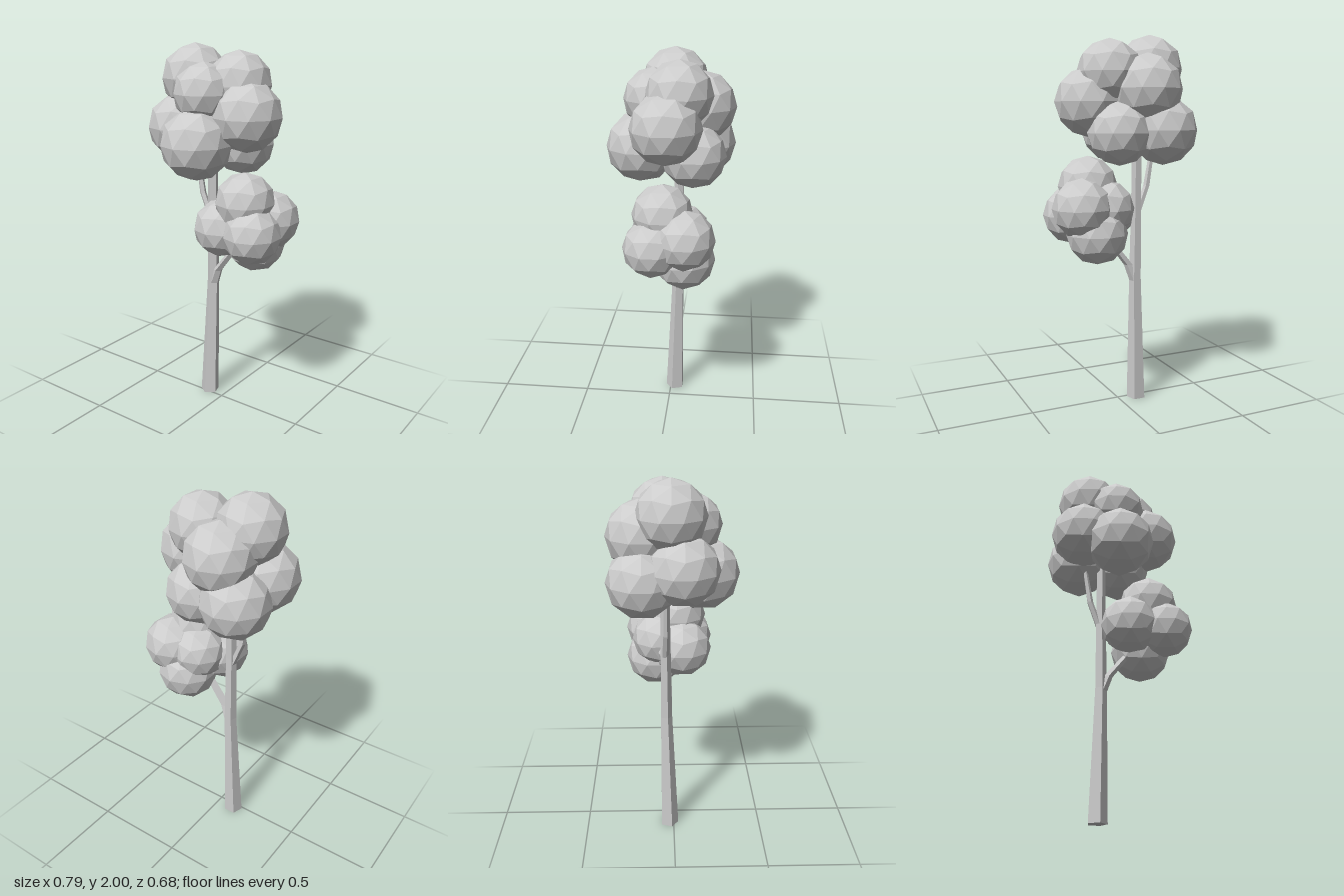
import * as THREE from 'three';

const material = new THREE.MeshStandardMaterial({ color: 0xcccccc, flatShading: true });
const SIDES = 5;

// Five-sided limb through level rings given as [x, y, z, radius]
function limb(name, rings) {
  const pos = [];
  const index = [];
  for (const [x, y, z, r] of rings) {
    for (let i = 0; i < SIDES; i++) {
      const a = (i / SIDES) * Math.PI * 2;
      pos.push(x + Math.sin(a) * r, y, z + Math.cos(a) * r);
    }
  }
  for (let k = 0; k < rings.length - 1; k++) {
    for (let i = 0; i < SIDES; i++) {
      const j = (i + 1) % SIDES;
      const a = k * SIDES + i, b = k * SIDES + j;
      index.push(a, b, b + SIDES, a, b + SIDES, a + SIDES);
    }
  }
  // End caps
  const top = (rings.length - 1) * SIDES;
  for (let i = 1; i < SIDES - 1; i++) {
    index.push(0, i + 1, i, top, top + i, top + i + 1);
  }
  const geometry = new THREE.BufferGeometry();
  geometry.setAttribute('position', new THREE.Float32BufferAttribute(pos, 3));
  geometry.setIndex(index);
  const flat = geometry.toNonIndexed();
  flat.computeVertexNormals();
  const mesh = new THREE.Mesh(flat, material);
  mesh.name = name;
  return mesh;
}

// Faceted leaf ball with a corner pointing straight up
const ball = new THREE.IcosahedronGeometry(1, 1);
ball.rotateX(-Math.atan2((1 + Math.sqrt(5)) / 2, 1));
ball.rotateY(-Math.PI / 2);

// Cluster of leaf balls given as [x, y, z, radius]
function crown(name, balls) {
  const group = new THREE.Group();
  group.name = name;
  for (const [x, y, z, r] of balls) {
    const mesh = new THREE.Mesh(ball, material);
    mesh.name = 'leafBall';
    mesh.position.set(x, y, z);
    mesh.scale.setScalar(r);
    group.add(mesh);
  }
  return group;
}

export function createModel() {
  const tree = new THREE.Group();
  tree.name = 'tree';

  // Trunk and the two branches
  tree.add(limb('trunk', [
    [-0.104, 0, -0.026, 0.053],
    [-0.088, 0.7, -0.042, 0.034],
    [-0.092, 1.1, -0.045, 0.029],
    [-0.092, 1.6, -0.05, 0.026],
  ]));
  tree.add(limb('lowerBranch', [
    [-0.085, 0.68, -0.042, 0.03],
    [-0.05, 0.77, -0.035, 0.026],
    [0.06, 0.91, -0.03, 0.022],
    [0.15, 1.03, -0.03, 0.02],
  ]));
  tree.add(limb('upperBranch', [
    [-0.095, 1.05, -0.045, 0.02],
    [-0.155, 1.2, -0.04, 0.018],
    [-0.185, 1.38, -0.04, 0.014],
    [-0.2, 1.5, -0.03, 0.012],
  ]));

  // Foliage
  tree.add(crown('upperCrown', [
    [-0.18, 1.822, -0.015, 0.178],
    [0.07, 1.795, -0.055, 0.173],
    [-0.05, 1.755, 0.085, 0.158],
    [0.16, 1.645, 0.003, 0.184],
    [-0.05, 1.505, 0.15, 0.188],
    [-0.227, 1.57, 0.047, 0.18],
    [-0.19, 1.5, -0.157, 0.183],
    [-0.1, 1.71, -0.157, 0.183],
    [0.048, 1.485, -0.13, 0.168],
  ]));
  tree.add(crown('lowerCrown', [
    [0.165, 1.205, 0.02, 0.16],
    [0.045, 1.055, 0.05, 0.157],
    [0.24, 1.05, 0.065, 0.155],
    [0.245, 1.1, -0.1, 0.158],
    [0.16, 0.963, -0.093, 0.163],
    [0.1, 1.09, -0.07, 0.152],
  ]));
  return tree;
}
